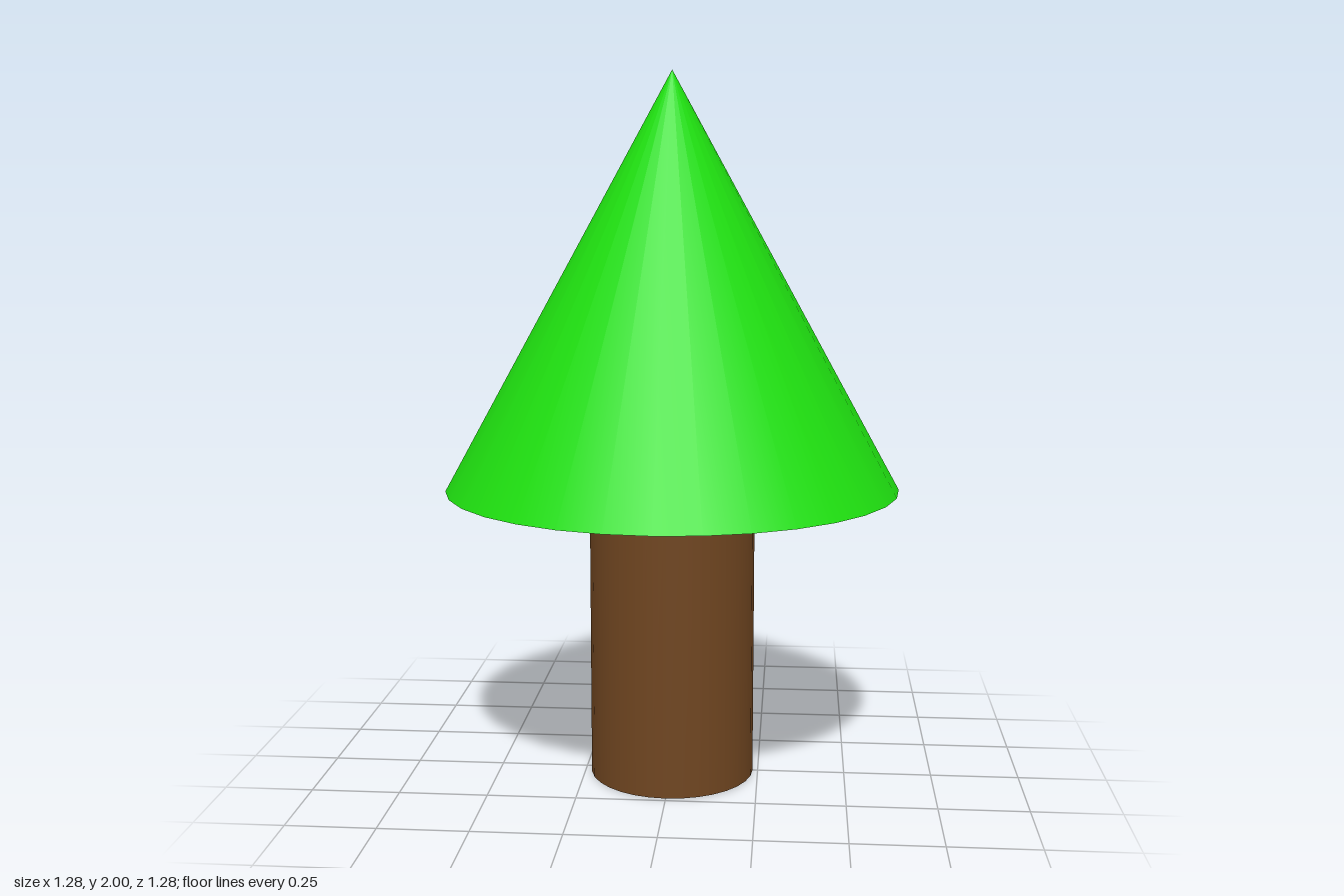
import * as THREE from 'three';

const SEGMENTS = 32;
const TRUNK_HEIGHT = 0.84;
const TOTAL_HEIGHT = 2;

// Adds a named part standing on the given base height.
function addPart(group, name, geometry, height, baseY, color) {
  const mesh = new THREE.Mesh(geometry, new THREE.MeshStandardMaterial({ color }));
  mesh.name = name;
  mesh.position.y = baseY + height / 2;
  group.add(mesh);
}

export function createModel() {
  const tree = new THREE.Group();
  tree.name = 'tree';

  // Round trunk
  addPart(tree, 'trunk',
    new THREE.CylinderGeometry(0.235, 0.235, TRUNK_HEIGHT, SEGMENTS),
    TRUNK_HEIGHT, 0, 0x6f4520);

  // Conical foliage with a closed underside
  const foliageHeight = TOTAL_HEIGHT - TRUNK_HEIGHT;
  addPart(tree, 'foliage',
    new THREE.ConeGeometry(0.64, foliageHeight, SEGMENTS),
    foliageHeight, TRUNK_HEIGHT, 0x1fe010);

  return tree;
}
